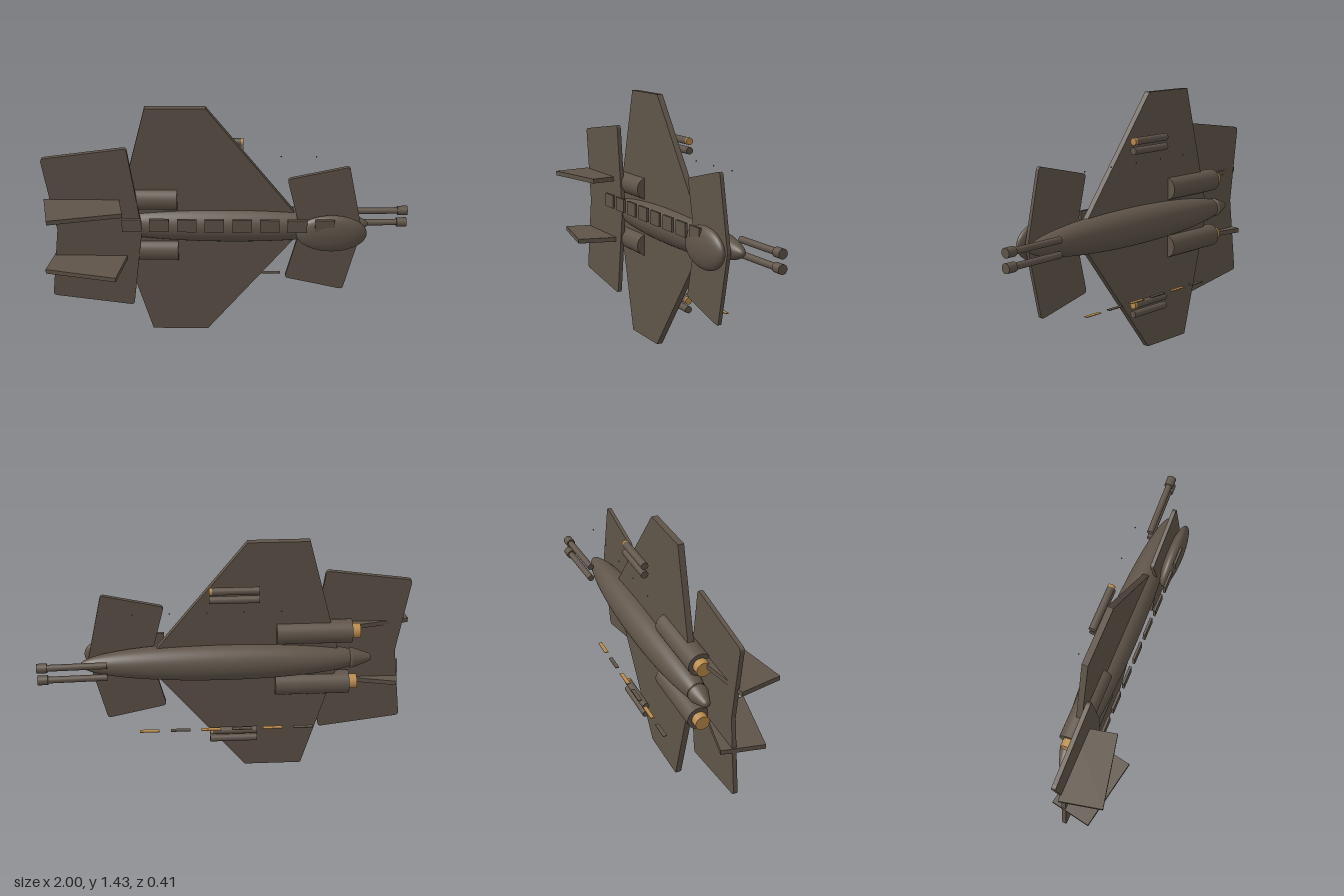
import * as THREE from 'three';

const MID = 0.717; // height of the centreline; the nose points to +x

export function createModel() {
  const model = new THREE.Group();
  model.name = 'aircraft';
  const hull = new THREE.MeshStandardMaterial({ color: 0x5f5449 });
  hull.name = 'brown hull';
  const brass = new THREE.MeshStandardMaterial({ color: 0xb98b4c });
  brass.name = 'brass';

  const add = (name, geometry, material, x = 0, y = 0, z = 0) => {
    const mesh = new THREE.Mesh(geometry, material);
    mesh.name = name;
    mesh.position.set(x, y, z);
    model.add(mesh);
    return mesh;
  };

  // Cylinder lying along x between x0 and x1
  const rod = (name, r, x0, x1, y, z, material = hull) =>
    add(name, new THREE.CylinderGeometry(r, r, x1 - x0, 32).rotateZ(-Math.PI / 2), material, (x0 + x1) / 2, y, z);

  // Flat surface: [x, offset] points of one half, mirrored about the centreline.
  // The first and last points lie on the centreline; the others are rounded by r.
  const plate = (name, half, z0, z1, r) => {
    const mirrored = half.slice(1, -1).reverse().map(([x, d]) => [x, -d]);
    const pts = [...half, ...mirrored].map(([x, d]) => new THREE.Vector2(x, MID + d));
    const shape = new THREE.Shape();
    pts.forEach((p, i) => {
      const prev = pts[(i + pts.length - 1) % pts.length];
      const next = pts[(i + 1) % pts.length];
      const round = Math.abs(p.y - MID) < 0.001 ? 0 : r;
      const a = p.clone().add(prev.clone().sub(p).setLength(round));
      const b = p.clone().add(next.clone().sub(p).setLength(round));
      if (i === 0) shape.moveTo(a.x, a.y);
      else shape.lineTo(a.x, a.y);
      if (round) shape.quadraticCurveTo(p.x, p.y, b.x, b.y);
    });
    shape.closePath();
    const geometry = new THREE.ExtrudeGeometry(shape, { depth: z1 - z0, bevelEnabled: false, curveSegments: 5 });
    add(name, geometry, hull, 0, 0, z0);
  };

  // Fuselage, tail cone and canopy
  const body = new THREE.SphereGeometry(1, 48, 32).rotateZ(-Math.PI / 2);
  add('fuselage', body, hull, 0, MID, -0.1).scale.set(0.775, 0.105, 0.1);
  const cone = [[0, -0.8], [0.012, -0.798], [0.022, -0.788], [0.054, -0.7], [0.054, -0.68], [0, -0.68]];
  add('tailCone', new THREE.LatheGeometry(cone.map(([r, h]) => new THREE.Vector2(r, h)), 32).rotateZ(-Math.PI / 2),
    hull, 0, MID, -0.1);
  add('canopy', body, hull, 0.565, MID, 0.004).scale.set(0.193, 0.113, 0.046);

  // Wing, tailplane and foreplane
  plate('mainWing', [[0.43, 0], [-0.12, 0.715], [-0.44, 0.715], [-0.63, 0]], -0.103, -0.07, 0.002);
  plate('tailplane', [[-0.475, 0], [-0.54, 0.506], [-1, 0.441], [-0.942, 0]], -0.041, -0.018, 0.022);
  plate('foreplane', [[0.735, 0], [0.648, 0.396], [0.318, 0.318], [0.395, 0]], -0.05, -0.03, 0.02);

  for (const side of [1, -1]) {
    // Engines with brass nozzles
    rod('engine', 0.064, -0.685, -0.28, MID + side * 0.165, -0.088);
    rod('engineNozzle', 0.04, -0.73, -0.685, MID + side * 0.165, -0.088, brass);

    // Fins, each tilted the other way
    const fin = add('tailFin', new THREE.BoxGeometry(0.4, 0.026, 0.23), hull, -0.782, MID + side * 0.181, 0.053);
    fin.rotation.y = side * 0.2;

    // Nose guns, slightly inclined
    const gun = new THREE.Group();
    gun.name = 'noseGun';
    gun.add(rod('gunBarrel', 0.018, -0.37, -0.05, 0, 0), rod('gunMuzzle', 0.026, -0.055, 0, 0, 0));
    gun.position.set(0.999, MID + side * 0.038, -0.182);
    gun.rotation.y = 0.03;
    model.add(gun);
  }

  // Paired tubes under each wing, one of each pair with a brass tip
  for (const y of [1.19, 0.297]) {
    rod('brassTippedTube', 0.02, -0.18, 0.066, y, -0.167);
    rod('tubeTip', 0.02, 0.066, 0.081, y, -0.167, brass);
    rod('plainTube', 0.02, -0.18, 0.081, y - 0.051, -0.167);
  }

  // Row of raised plates along the back
  for (let i = 0; i < 8; i++) {
    add('backPlate', new THREE.BoxGeometry(0.106, 0.077, 0.014), hull, -0.525 + i * 0.15, 0.783, 0.036);
  }

  // Row of alternating strips below one wing
  for (let i = 0; i < 6; i++) {
    add('wingStrip', new THREE.BoxGeometry(0.108, 0.004, 0.022), i % 2 ? hull : brass, 0.415 - i * 0.17, 0.323, -0.188);
  }

  // Row of studs below the other wing
  for (let i = 0; i < 5; i++) {
    add('wingStud', new THREE.SphereGeometry(0.004, 10, 8), hull, 0.48 - i * 0.193, 1.083, -0.2);
  }

  return model;
}
